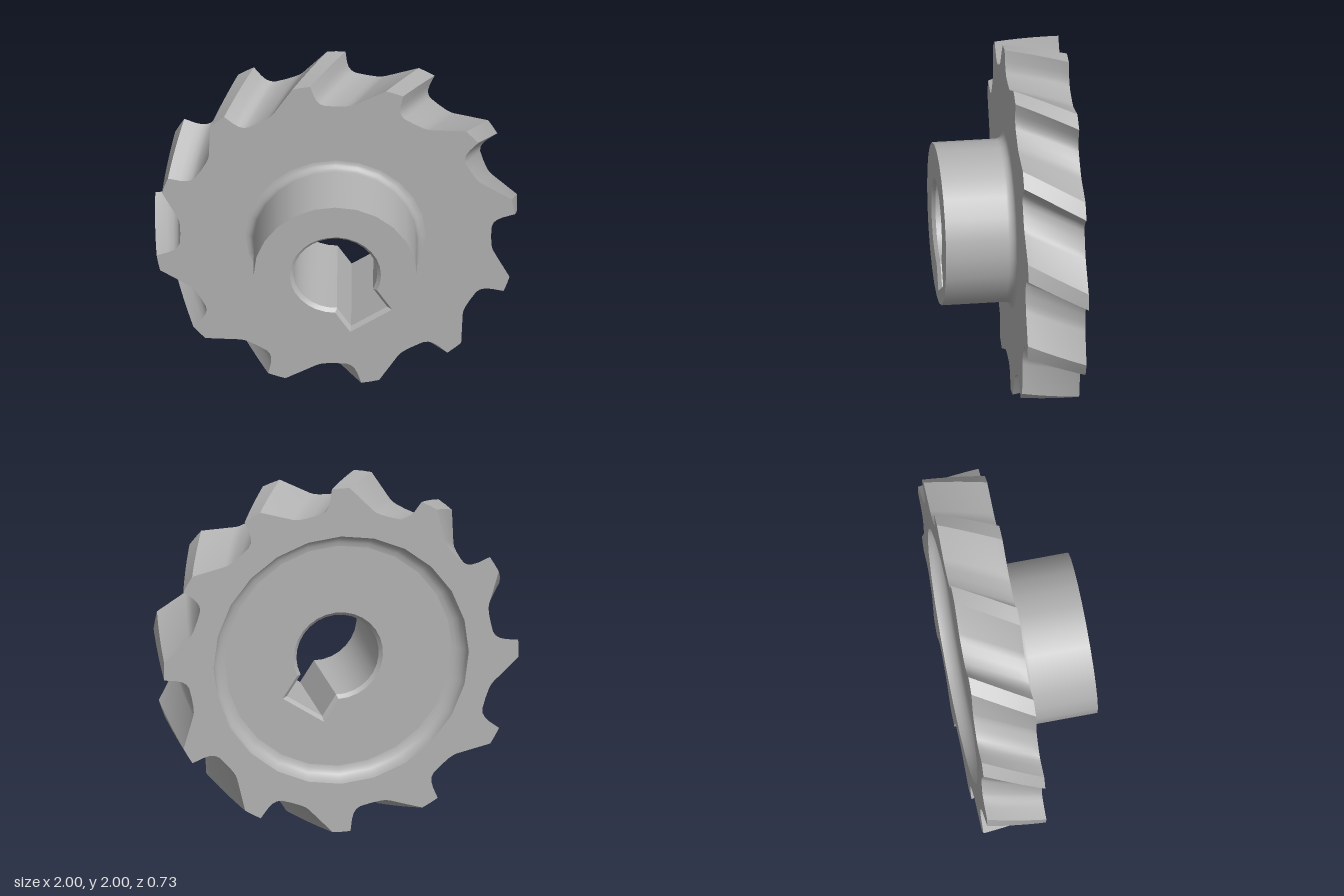
import * as THREE from 'three';
import { toCreasedNormals } from 'three/addons/utils/BufferGeometryUtils.js';

const TEETH = 12, SEG = 24;
const BACK = -0.365, FACE = -0.03, END = 0.365, FLOOR = -0.285;
const TWIST = -0.194;            // helix rotation from front face to back face
const KEY_ANGLE = -57 * Math.PI / 180;

const rotate = (pts, a) => {
  const c = Math.cos(a), s = Math.sin(a);
  return pts.map(([x, y]) => [x * c - y * s, x * s + y * c]);
};

const circle = (r) => Array.from({ length: SEG }, (_, i) => {
  const a = i / SEG * Math.PI * 2;
  return [r * Math.cos(a), r * Math.sin(a)];
});

// One gullet and tooth tip, repeated counter-clockwise
function toothOutline() {
  const tooth = [
    [0.107, 0.872], [0.085, 0.864], [0.055, 0.86], [0, 0.859], [-0.06, 0.862], [-0.085, 0.873],
    [-0.104, 0.893], [-0.12, 0.925], [-0.141, 0.99], [-0.191, 0.9816], [-0.24, 0.9708],
  ];
  const out = [];
  for (let i = 0; i < TEETH; i++) out.push(...rotate(tooth, i / TEETH * Math.PI * 2));
  return out;
}

// Round bore with a rectangular keyway, counter-clockwise
function keyedBore(r, halfWidth, depth) {
  const open = Math.asin(halfWidth / r), pts = [];
  for (let i = 0; i <= SEG; i++) {
    const a = open + (i / SEG) * (Math.PI * 2 - 2 * open);
    pts.push([r * Math.cos(a), r * Math.sin(a)]);
  }
  pts.push([depth, -halfWidth], [depth, halfWidth]);
  return rotate(pts, KEY_ANGLE);
}

// Wall through matching rings: ascending z faces outward, descending faces inward
function loft(rings) {
  const n = rings[0].pts.length, pos = [], index = [];
  for (const { pts, z } of rings) for (const [x, y] of pts) pos.push(x, y, z);
  for (let k = 0; k < rings.length - 1; k++) {
    for (let i = 0; i < n; i++) {
      const j = (i + 1) % n, a = k * n + i, b = k * n + j;
      index.push(a, b, b + n, a, b + n, a + n);
    }
  }
  const g = new THREE.BufferGeometry();
  g.setAttribute('position', new THREE.Float32BufferAttribute(pos, 3));
  g.setIndex(index);
  return toCreasedNormals(g, 0.55);
}

// Flat face with a hole, optionally facing the back
function face(outer, hole, z, toBack = false) {
  const vec = (pts) => pts.map(([x, y]) => new THREE.Vector2(x, y));
  const shape = new THREE.Shape(vec(outer));
  shape.holes.push(new THREE.Path(vec(hole)));
  const g = new THREE.ShapeGeometry(shape);
  if (toBack) {
    g.index.array.reverse();
    g.computeVertexNormals();
  }
  return g.translate(0, 0, z);
}

function lathe(profile) {
  const pts = profile.map(([r, z]) => new THREE.Vector2(r, z));
  return new THREE.LatheGeometry(pts, SEG).rotateX(Math.PI / 2);
}

// Quarter-round profile points between two angles
const arc = (cx, cy, r, a0, a1) => Array.from({ length: 6 }, (_, i) => {
  const a = a0 + (a1 - a0) * i / 5;
  return [cx + r * Math.cos(a), cy + r * Math.sin(a)];
});

export function createModel() {
  const group = new THREE.Group();
  const steel = new THREE.MeshStandardMaterial({ color: 0xb2b2b2 });
  steel.name = 'steel grey';
  const body = new THREE.Group();
  body.name = 'cutterWheel';
  body.position.y = 1;
  group.add(body);
  const add = (name, geometry) => {
    const mesh = new THREE.Mesh(geometry, steel);
    mesh.name = name;
    body.add(mesh);
  };

  // Helical toothed rim
  const outline = toothOutline(), rings = [];
  const steps = 8;
  for (let i = 0; i <= steps; i++) {
    const t = i / steps;
    rings.push({ pts: rotate(outline, TWIST * (1 - t)), z: BACK + (FACE - BACK) * t });
  }
  add('toothedRim', loft(rings));
  add('frontFace', face(outline, circle(0.495), FACE));
  add('backFace', face(rings[0].pts, circle(0.72), BACK, true));

  // Hub with a rounded foot
  add('hubWall', lathe([...arc(0.497, 0.015, 0.045, -Math.PI / 2, -Math.PI), [0.452, END]]));

  // Shallow recess in the back
  add('recessWall', lathe(arc(0.64, BACK, 0.08, Math.PI / 2, 0)));

  // Chamfered bore and keyway
  const wide = keyedBore(0.252, 0.138, 0.363), narrow = keyedBore(0.232, 0.119, 0.343);
  add('hubEnd', face(circle(0.452), wide, END));
  add('recessFloor', face(circle(0.64), wide, FLOOR, true));
  add('boreWall', loft([
    { pts: wide, z: END }, { pts: narrow, z: END - 0.02 },
    { pts: narrow, z: FLOOR + 0.02 }, { pts: wide, z: FLOOR },
  ]));
  return group;
}
